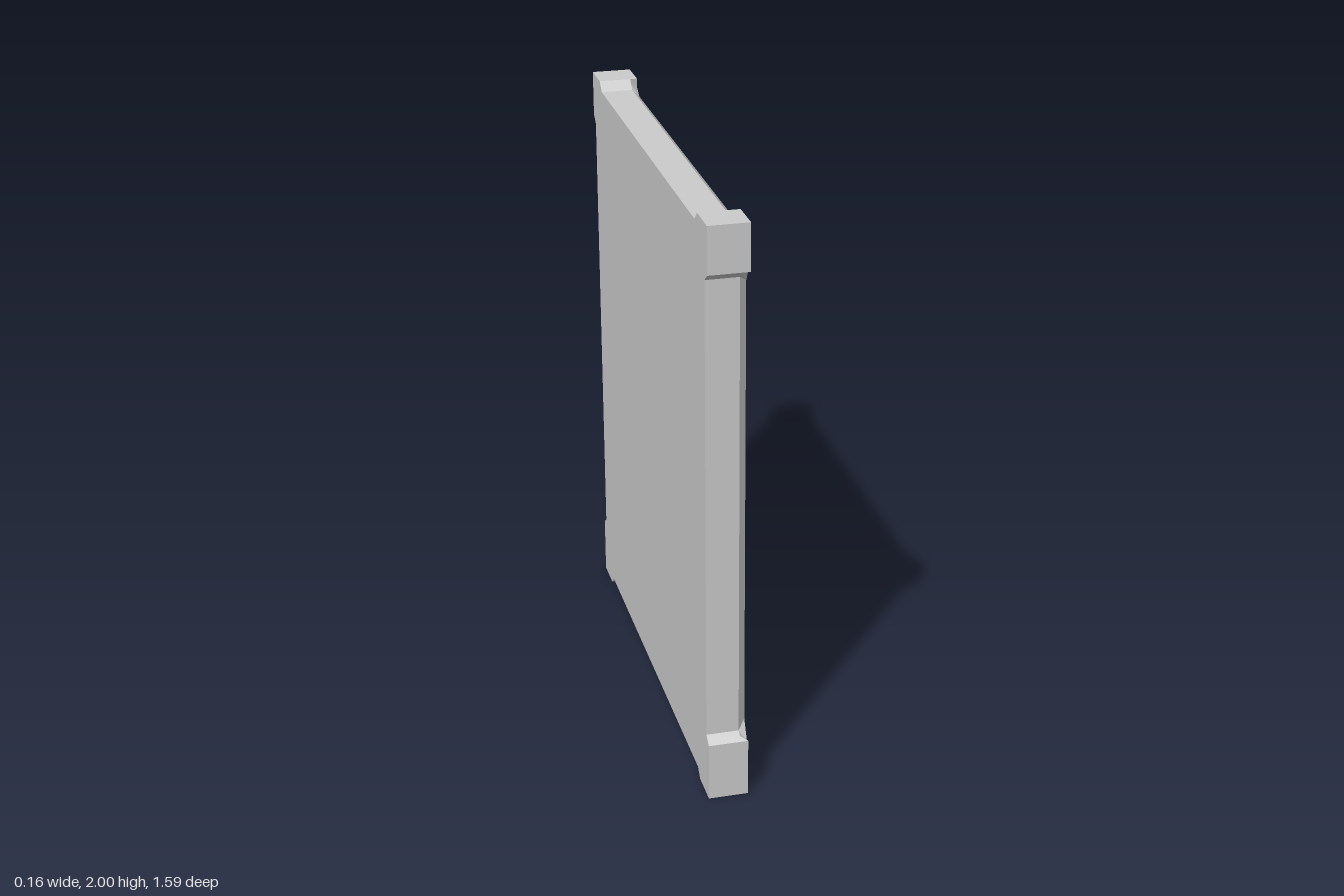
import * as THREE from 'three';

const BACK = -0.0665, BEVEL = 0.042, FRONT = 0.0665, RECESS = 0.023;

// Mirrors the right half of an outline [u, y] to a closed counter-clockwise loop
const closeLoop = (half) => [...half, ...half.map(([u, y]) => [-u, y]).reverse()]
  .map(([u, y]) => new THREE.Vector2(u, y));

// Outline at the back and up to the bevel: corner blocks stand proud of the rails
const bodyLoop = closeLoop([
  [0.65, 0.03], [0.665, 0.015], [0.68, 0], [0.795, 0],
  [0.795, 0.205], [0.78, 0.218], [0.765, 0.23],
  [0.765, 1.82], [0.78, 1.833], [0.795, 1.845],
  [0.795, 2], [0.68, 2], [0.665, 1.985], [0.65, 1.97],
]);

// Outline of the front face, inside the bevel of the rails
const faceLoop = closeLoop([
  [0.645, 0.055], [0.685, 0.03], [0.68, 0], [0.795, 0],
  [0.795, 0.205], [0.778, 0.195], [0.745, 0.26],
  [0.745, 1.8], [0.778, 1.857], [0.795, 1.845],
  [0.795, 2], [0.68, 2], [0.685, 1.97], [0.645, 1.945],
]);

const openingLoop = closeLoop([[0.682, 0.143], [0.682, 1.863]]);

// Wall joining two matching loops at different depths
function wall(a, depthA, b, depthB) {
  const pos = [];
  a.forEach((p, i) => {
    const j = (i + 1) % a.length;
    const quad = [[p, depthA], [a[j], depthA], [b[j], depthB], [b[i], depthB]];
    for (const k of [0, 1, 2, 0, 2, 3]) pos.push(quad[k][0].x, quad[k][0].y, quad[k][1]);
  });
  const g = new THREE.BufferGeometry();
  g.setAttribute('position', new THREE.Float32BufferAttribute(pos, 3));
  return g;
}

// Flat face at a depth, with an optional opening
function face(loop, depth, hole) {
  const shape = new THREE.Shape(loop);
  if (hole) shape.holes.push(new THREE.Path(hole));
  return new THREE.ShapeGeometry(shape).translate(0, 0, depth);
}

export function createModel() {
  const group = new THREE.Group();
  group.name = 'pictureFrame';
  const material = new THREE.MeshStandardMaterial({
    color: 0xcccccc, flatShading: true, side: THREE.DoubleSide,
  });

  // Turns the part to face +x and leans it slightly backwards
  const add = (name, geometry) => {
    geometry.rotateY(Math.PI / 2);
    const p = geometry.attributes.position;
    for (let i = 0; i < p.count; i++) p.setX(i, p.getX(i) + 0.0115 * (1 - p.getY(i)));
    geometry.computeVertexNormals();
    const mesh = new THREE.Mesh(geometry, material);
    mesh.name = name;
    group.add(mesh);
  };

  // Frame
  add('frameSides', wall(bodyLoop, BACK, bodyLoop, BEVEL));
  add('frameBevel', wall(bodyLoop, BEVEL, faceLoop, FRONT));
  add('frameFace', face(faceLoop, FRONT, openingLoop));

  // Recessed picture panel
  const inward = [...openingLoop].reverse();
  add('recessWalls', wall(inward, RECESS, inward, FRONT));
  add('picturePanel', face(openingLoop, RECESS));

  // Back: flipped so that it faces away from the front
  const back = face(bodyLoop, 0);
  back.rotateY(Math.PI).translate(0, 0, BACK);
  add('backPanel', back);

  return group;
}
